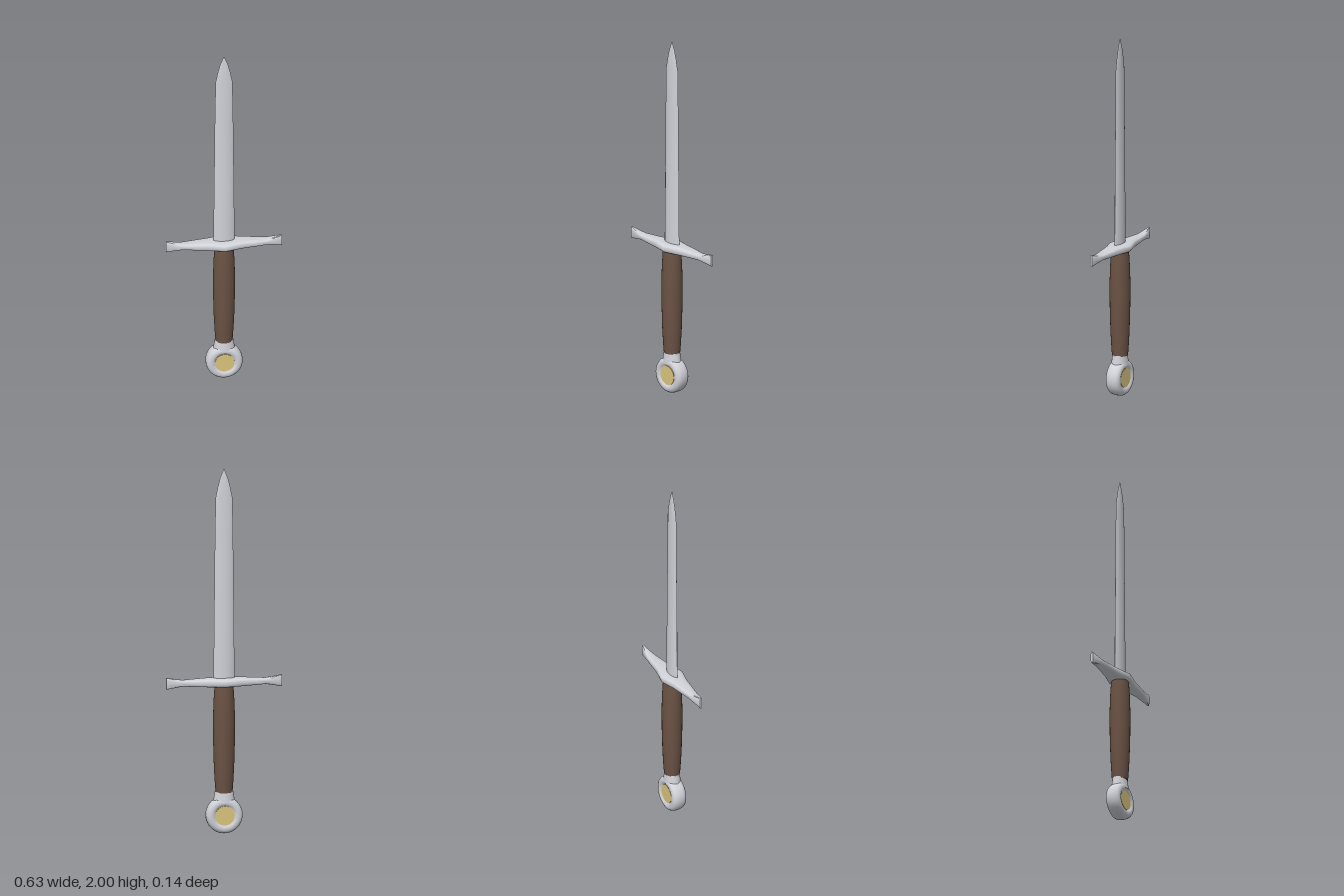
import * as THREE from 'three';
import { toCreasedNormals } from 'three/addons/utils/BufferGeometryUtils.js';

// Skin a list of equal-length rings (counter-clockwise about the travel direction) and cap both ends
function loft(rings, crease) {
  const n = rings[0].length, last = rings.length - 1;
  const points = rings.flat();
  const index = [];
  for (let i = 0; i < last; i++) {
    for (let j = 0; j < n; j++) {
      const k = (j + 1) % n;
      const a = i * n + j, b = i * n + k, c = a + n, d = b + n;
      index.push(a, b, d, a, d, c);
    }
  }
  for (let j = 1; j < n - 1; j++) {
    index.push(0, j + 1, j);
    index.push(last * n, last * n + j, last * n + j + 1);
  }
  const geometry = new THREE.BufferGeometry().setFromPoints(points);
  geometry.setIndex(index);
  return toCreasedNormals(geometry, crease);
}

export function createModel() {
  const steel = new THREE.MeshStandardMaterial({ color: 0xd0d2d8 });
  const leather = new THREE.MeshStandardMaterial({ color: 0x6a5244 });
  const gold = new THREE.MeshStandardMaterial({ color: 0xdcc57c });
  const group = new THREE.Group();
  const add = (name, geometry, material) => {
    const mesh = new THREE.Mesh(geometry, material);
    mesh.name = name;
    group.add(mesh);
    return mesh;
  };

  // Blade: lens section as [x, z] fractions, stacked as [y, half width, half thickness]
  const lens = [[0, 1], [0.35, 0.92], [0.75, 0.55], [1, 0], [0.75, -0.55], [0.35, -0.92],
    [0, -1], [-0.35, -0.92], [-0.75, -0.55], [-1, 0], [-0.75, 0.55], [-0.35, 0.92]];
  const bladeStations = [[0.82, 0.058, 0.019], [1.2, 0.054, 0.016], [1.6, 0.05, 0.012],
    [1.84, 0.046, 0.009], [1.9, 0.034, 0.007], [1.95, 0.021, 0.004], [2, 0.0008, 0.0005]];
  add('blade', loft(bladeStations.map(([y, w, t]) =>
    lens.map(([x, z]) => new THREE.Vector3(x * w, y, z * t))), 0.8), steel);

  // Crossguard: rounded section swept along x, stations as [x, half height, half depth]
  const halfGuard = [[0, 0.024, 0.068], [0.088, 0.023, 0.044], [0.17, 0.019, 0.034],
    [0.225, 0.016, 0.027], [0.25, 0.02, 0.023], [0.315, 0.033, 0.007]];
  const guardStations = [
    ...halfGuard.slice(1).reverse().map(([x, h, d]) => [-x, h, d]),
    ...halfGuard,
  ];
  const sides = 20;
  const soften = (v) => Math.sign(v) * Math.pow(Math.abs(v), 0.6);
  add('crossguard', loft(guardStations.map(([x, h, d]) =>
    Array.from({ length: sides }, (_, j) => {
      const a = (j / sides) * Math.PI * 2;
      return new THREE.Vector3(x, 0.829 + h * soften(Math.cos(a)), d * soften(Math.sin(a)));
    })), 0.7), steel);

  // Grip: gently swollen handle, slightly flattened front to back
  const gripProfile = [[0, 0.225], [0.046, 0.225], [0.049, 0.26], [0.055, 0.36], [0.059, 0.5],
    [0.06, 0.62], [0.057, 0.72], [0.052, 0.8], [0.05, 0.815], [0, 0.815]];
  const grip = add('grip', toCreasedNormals(new THREE.LatheGeometry(
    gripProfile.map(([r, y]) => new THREE.Vector2(r, y)), 24), 0.7), leather);
  grip.scale.z = 0.92;

  // Neck collar between grip and pommel
  const neck = add('pommelNeck', new THREE.CylinderGeometry(0.05, 0.06, 0.06, 24), steel);
  neck.position.y = 0.2;
  neck.scale.z = 0.74;

  // Pommel: thick wheel with rounded rims and a shallow dish on each face
  const halfRim = [[0, 0.033], [0.053, 0.033], [0.06, 0.039], [0.068, 0.042], [0.08, 0.041],
    [0.09, 0.036], [0.097, 0.026], [0.1, 0.012]];
  const wheelProfile = [
    ...halfRim.map(([r, z]) => new THREE.Vector2(r, -z)),
    ...halfRim.slice().reverse().map(([r, z]) => new THREE.Vector2(r, z)),
  ];
  const wheel = add('pommel', toCreasedNormals(new THREE.LatheGeometry(wheelProfile, 40), 0.8), steel);
  wheel.rotation.x = Math.PI / 2;
  wheel.position.y = 0.1;

  // Gold inlay on both faces
  for (const side of [1, -1]) {
    const inlay = add(side > 0 ? 'frontInlay' : 'backInlay',
      new THREE.CylinderGeometry(0.053, 0.053, 0.004, 32), gold);
    inlay.rotation.x = Math.PI / 2;
    inlay.position.set(0, 0.105, side * 0.034);
    inlay.position.y = 0.1;
  }

  return group;
}
